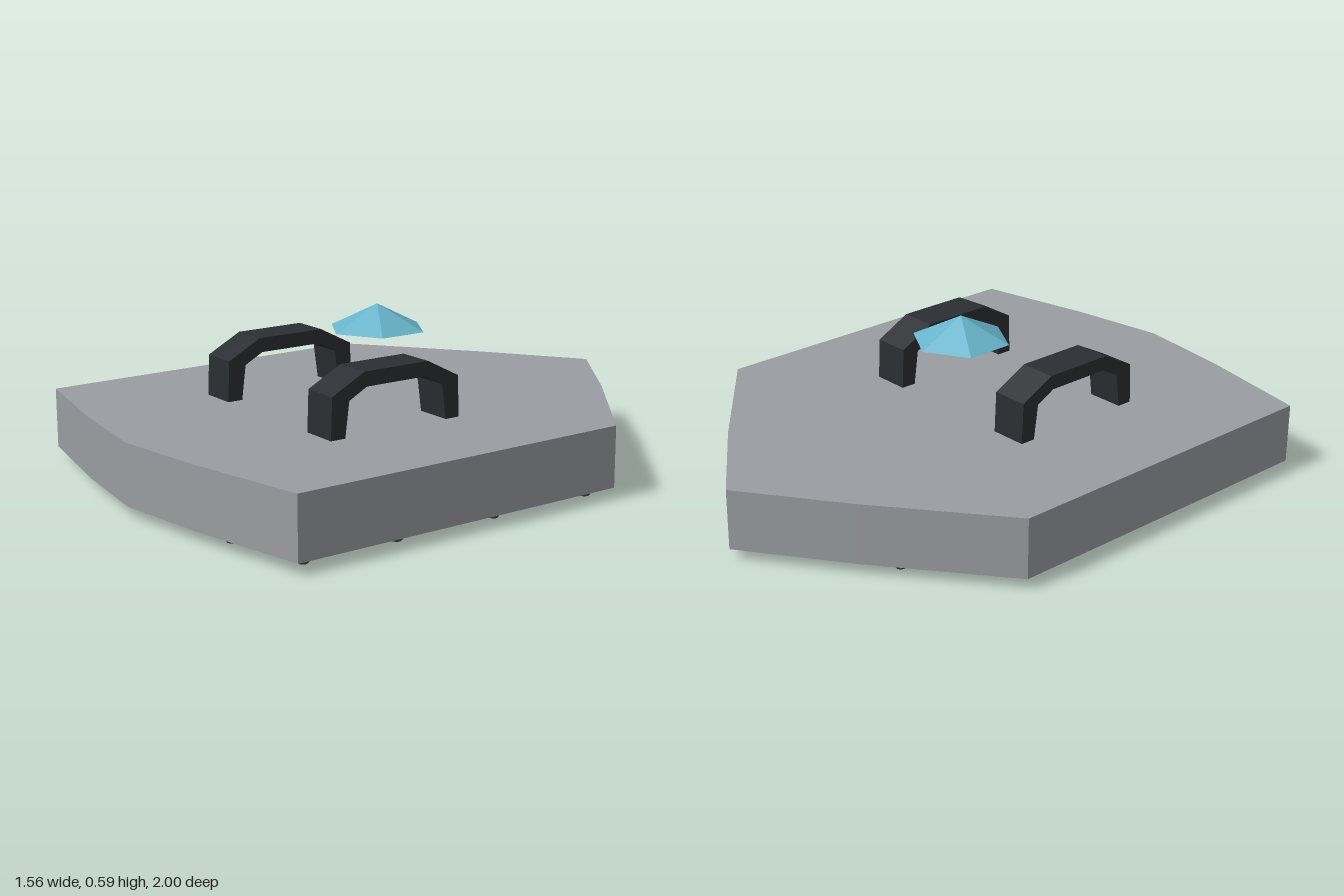
import * as THREE from 'three';

const mat = (color) => new THREE.MeshStandardMaterial({ color, flatShading: true });
const steel = mat(0x9a9da1);
const plateDark = mat(0x3c4147);
const rivetMat = mat(0x4a515b);
const woodBlack = mat(0x1e2023);
const leather = mat(0x2b2e32);
const blue = mat(0x66b4ca);

// half outlines as [x, z], from the back point to the front point
const OUTER = [[0, -1], [0.35, -0.75], [0.78, -0.41], [0.78, 0.86], [0.35, 0.95], [0, 1]];
const INNER = [[0, -0.82], [0.3, -0.6], [0.62, -0.34], [0.62, 0.71], [0.3, 0.79], [0, 0.83]];

// mirror a half outline; shape y is -z so that extrusion goes up
function mirrored(half, Type) {
  const left = half.slice(1, -1).reverse().map(([x, z]) => [-x, z]);
  return new Type([...half, ...left].map(([x, z]) => new THREE.Vector2(x, -z)));
}

function slab(shape, y0, y1) {
  const g = new THREE.ExtrudeGeometry(shape, { depth: y1 - y0, bevelEnabled: false });
  return g.rotateX(-Math.PI / 2).translate(0, y0, 0);
}

export function createModel() {
  const root = new THREE.Group();
  const add = (name, geometry, material, x = 0, y = 0, z = 0) => {
    const m = new THREE.Mesh(geometry, material);
    m.name = name;
    m.position.set(x, y, z);
    root.add(m);
    return m;
  };
  const CZ = 0.045; // centre of the cross straps and hub

  // shield face and the raised rim below it
  add('shieldBody', slab(mirrored(OUTER, THREE.Shape), 0.1, 0.255), steel);
  const rim = mirrored(OUTER, THREE.Shape);
  rim.holes.push(mirrored(INNER, THREE.Path));
  add('rim', slab(rim, 0.04, 0.1), steel);

  // dark planks lining the recess, cut to follow the outline
  const back = (x) => -0.86 + 0.72 * Math.abs(x);
  const front = (x) => 0.86 - 0.15 * Math.abs(x);
  const count = 8, width = 1.28 / count;
  for (let i = 0; i < count; i++) {
    const a = -0.64 + i * width + 0.006, b = a + width - 0.012;
    const plank = new THREE.Shape([[a, back(a)], [b, back(b)], [b, front(b)], [a, front(a)]]
      .map(([x, z]) => new THREE.Vector2(x, -z)));
    add('plank', slab(plank, i % 2 ? 0.085 : 0.092, 0.11), woodBlack);
  }
  add('plankBacking', slab(mirrored(INNER, THREE.Shape), 0.097, 0.12), woodBlack);

  // cross straps and hub
  add('longStrap', new THREE.BoxGeometry(0.24, 0.055, 1.6), steel, 0, 0.0705, 0.01);
  add('crossStrap', new THREE.BoxGeometry(1.28, 0.055, 0.24), steel, 0, 0.0705, CZ);
  const octagon = (r, h) => new THREE.CylinderGeometry(r, r, h, 8).rotateY(Math.PI / 8);
  add('hub', octagon(0.29, 0.055), steel, 0, 0.0695, CZ);
  add('hubPlate', octagon(0.265, 0.02), plateDark, 0, 0.048, CZ);
  add('hubBoss', new THREE.BoxGeometry(0.2, 0.045, 0.2).rotateY(Math.PI / 4), steel, 0, 0.0275, CZ - 0.005);

  // rivets
  const bigRivet = new THREE.SphereGeometry(0.028, 8, 5);
  const smallRivet = new THREE.SphereGeometry(0.016, 6, 4);
  const big = (x, z) => add('rimRivet', bigRivet, rivetMat, x, 0.028, z);
  const small = (x, z, y = 0.045) => add('strapRivet', smallRivet, rivetMat, x, y, z);
  big(0, 0.92);
  big(0, -0.9);
  for (const s of [-1, 1]) {
    for (const [x, z] of [[0.41, 0.86], [0.7, 0.79], [0.7, 0.44], [0.7, 0.05], [0.7, -0.35], [0.41, -0.62]]) big(s * x, z);
    for (const [x, z] of [[0.08, -0.72], [0.08, 0.78], [0.6, CZ - 0.05], [0.6, CZ + 0.05]]) small(s * x, z);
  }
  for (let i = 0; i < 8; i++) {
    const a = (i + 0.5) * Math.PI / 4;
    small(0.24 * Math.cos(a), CZ + 0.24 * Math.sin(a), 0.042);
  }

  // arched grips: profile in (z - 0.2, y), extruded across x
  const halfOuter = [[0.263, 0.25], [0.257, 0.4], [0.13, 0.466]];
  const halfInner = [[0.12, 0.415], [0.19, 0.378], [0.207, 0.25]];
  const flip = (pts) => pts.map(([u, v]) => [-u, v]).reverse();
  const arch = new THREE.Shape([...halfOuter, ...flip(halfOuter), ...flip(halfInner), ...halfInner]
    .map(([u, v]) => new THREE.Vector2(u, v)));
  const grip = new THREE.ExtrudeGeometry(arch, { depth: 0.135, bevelEnabled: false })
    .translate(0, 0, -0.0675).rotateY(-Math.PI / 2);
  add('leftGrip', grip, leather, 0.3125, 0, 0.2);
  add('rightGrip', grip, leather, -0.3125, 0, 0.2);

  // floating six-sided cap
  add('cap', new THREE.ConeGeometry(0.175, 0.088, 6), blue, 0, 0.547, 0);
  return root;
}
